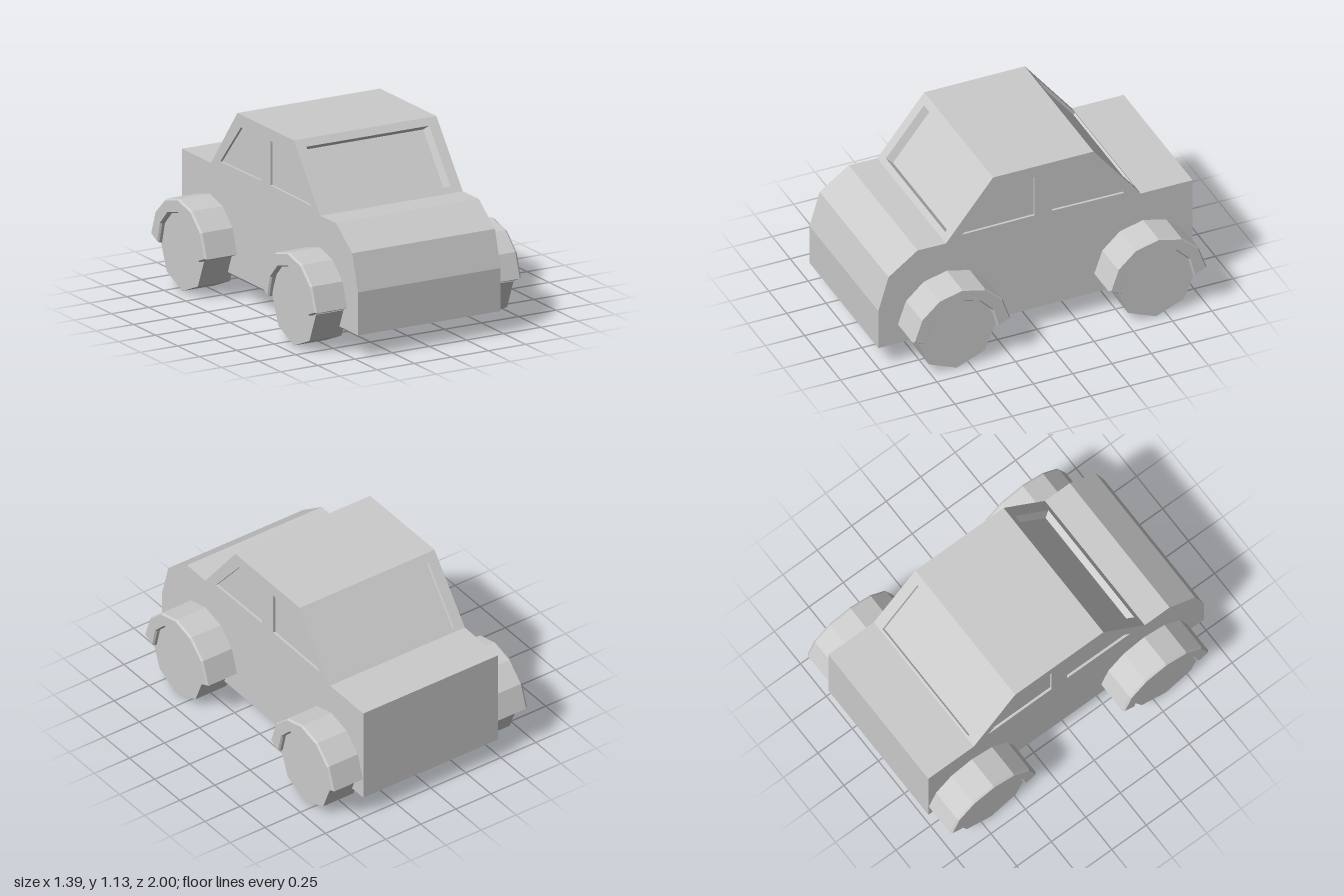
import * as THREE from 'three';
import { mergeGeometries } from 'three/addons/utils/BufferGeometryUtils.js';

const material = new THREE.MeshStandardMaterial({ color: 0xcccccc, flatShading: true });
const HALF = 0.48; // half width of the body

const toVectors = (pts) => pts.map(([x, y]) => new THREE.Vector2(x, y));

function plainFace(shape, depth) {
  const g = new THREE.ShapeGeometry(shape).toNonIndexed().translate(0, 0, -depth);
  g.deleteAttribute('uv');
  return g;
}

// Flat panel facing local +z, with sunken windows whose rims may narrow in x
function panelGeometry(outline, windows = [], depth = 0, taper = 1) {
  const shape = new THREE.Shape(toVectors(outline));
  const parts = [];
  for (const win of windows) {
    const rim = toVectors(win);
    if (THREE.ShapeUtils.area(rim) < 0) rim.reverse();
    shape.holes.push(new THREE.Path(rim));
    const mid = rim.reduce((s, p) => s + p.x, 0) / rim.length;
    const inner = rim.map((p) => new THREE.Vector2(mid + (p.x - mid) * taper, p.y));
    parts.push(plainFace(new THREE.Shape(inner), depth));
    const pos = [];
    rim.forEach((p, i) => {
      const j = (i + 1) % rim.length;
      const q = rim[j], pi = inner[i], qi = inner[j];
      pos.push(pi.x, pi.y, -depth, p.x, p.y, 0, q.x, q.y, 0);
      pos.push(pi.x, pi.y, -depth, q.x, q.y, 0, qi.x, qi.y, -depth);
    });
    const walls = new THREE.BufferGeometry();
    walls.setAttribute('position', new THREE.Float32BufferAttribute(pos, 3));
    walls.computeVertexNormals();
    parts.push(walls);
  }
  parts.push(plainFace(shape, 0));
  return mergeGeometries(parts);
}

function addMesh(parent, name, geometry) {
  const mesh = new THREE.Mesh(geometry, material);
  mesh.name = name;
  parent.add(mesh);
  return mesh;
}

// Places a panel by its local x and y directions and its origin
function orient(geometry, xAxis, yAxis, origin) {
  const zAxis = new THREE.Vector3().crossVectors(xAxis, yAxis);
  return geometry.applyMatrix4(new THREE.Matrix4().makeBasis(xAxis, yAxis, zAxis).setPosition(origin));
}

function createBody() {
  const body = new THREE.Group();
  body.name = 'body';

  // Side outline as [z, y], with the name of the panel that starts at each point
  const profile = [
    [1, 0.14, 'frontBumper'], [1, 0.4, 'grille'], [0.935, 0.62, 'hoodSlope'],
    [0.75, 0.755, 'hood'], [0.57, 0.752, 'windshield'], [0.27, 1.13, 'roof'],
    [-0.37, 1.13, 'rearWindow'], [-0.67, 0.75, 'trunkLid'],
    [-1, 0.75, 'tail'], [-1, 0.14, 'floor'],
  ];
  const openings = {
    windshield: { y0: 0.042, y1: 0.431, depth: 0.045, taper: 0.95 },
    rearWindow: { y0: 0.055, y1: 0.466, depth: 0.015, taper: 0.99 },
  };
  const rect = (w, y0, y1) => [[-w, y0], [w, y0], [w, y1], [-w, y1]];

  // Panels across the width
  profile.forEach(([z, y, name], i) => {
    const [z2, y2] = profile[(i + 1) % profile.length];
    const along = new THREE.Vector3(0, y2 - y, z2 - z);
    const length = along.length();
    const o = openings[name];
    const outline = rect(HALF, 0, length);
    const g = o
      ? panelGeometry(outline, [rect(0.413, o.y0, o.y1)], o.depth, o.taper)
      : panelGeometry(outline);
    orient(g, new THREE.Vector3(1, 0, 0), along.normalize(), new THREE.Vector3(0, y, z));
    addMesh(body, name, g);
  });

  // Side walls with two sunken windows each
  const sideWindows = [
    [[0.465, 0.785], [0.235, 1.053], [0.005, 1.058], [0.005, 0.79]],
    [[-0.105, 0.79], [-0.105, 1.058], [-0.33, 1.053], [-0.565, 0.785]],
  ];
  for (const side of [1, -1]) {
    const flip = (pts) => pts.map(([z, y]) => [-side * z, y]);
    const g = panelGeometry(flip(profile), sideWindows.map(flip), 0.015);
    orient(g, new THREE.Vector3(0, 0, -side), new THREE.Vector3(0, 1, 0), new THREE.Vector3(side * HALF, 0, 0));
    addMesh(body, side > 0 ? 'leftSide' : 'rightSide', g);
  }
  return body;
}

// Arched fender, running outward along +x
function fenderGeometry() {
  const arc = (r, start) => Array.from({ length: 7 }, (_, i) => {
    const a = THREE.MathUtils.degToRad(start + (180 - 2 * start) * i / 6);
    return [r * Math.cos(a), r * Math.sin(a)];
  });
  const shape = new THREE.Shape(toVectors([...arc(0.302, 5), ...arc(0.233, -1).reverse()]));
  const g = new THREE.ExtrudeGeometry(shape, {
    depth: 0.228, bevelEnabled: true, bevelSegments: 1, bevelThickness: 0.012, bevelSize: 0.008,
  });
  return g.rotateY(Math.PI / 2).translate(0.455, 0, 0);
}

export function createModel() {
  const model = new THREE.Group();
  model.name = 'car';
  model.add(createBody());

  const fender = fenderGeometry();
  const wheel = new THREE.CylinderGeometry(0.25, 0.25, 0.215, 8).rotateZ(Math.PI / 2);
  const axles = [['front', 0.585, 0.565], ['rear', -0.683, -0.685]];
  for (const [end, wheelZ, fenderZ] of axles) {
    for (const side of [1, -1]) {
      const label = end + (side > 0 ? 'Left' : 'Right');
      addMesh(model, label + 'Wheel', wheel).position.set(side * 0.5575, 0.25, wheelZ);
      const arch = addMesh(model, label + 'Fender', fender);
      arch.position.set(0, 0.25, fenderZ);
      arch.rotation.y = side > 0 ? 0 : Math.PI;
    }
  }
  return model;
}
